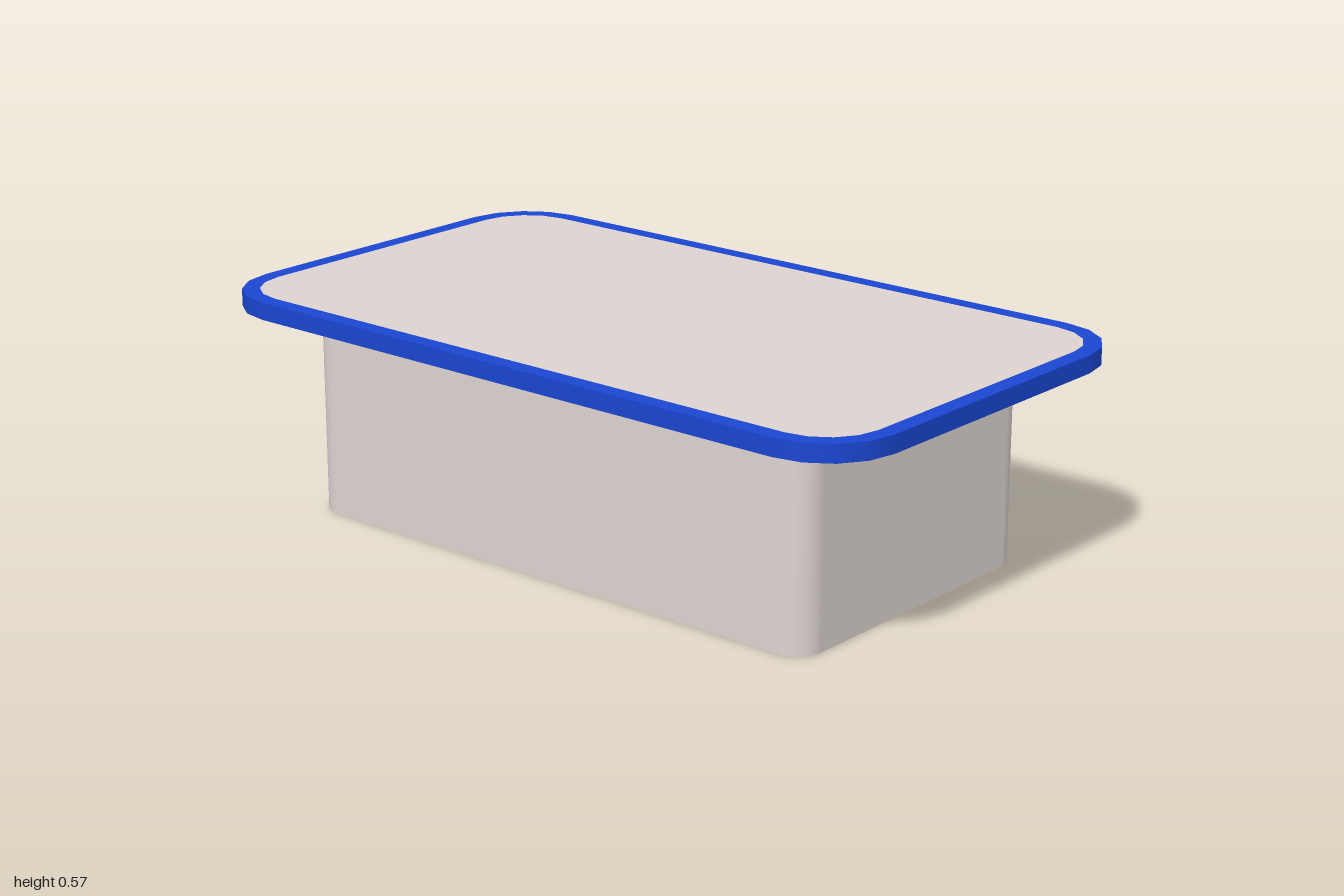
import * as THREE from 'three';

// Rounded rectangle outline in plan; each entry keeps its position and outward normal
function outline(hx, hz, r, segments) {
  const pts = [];
  const corners = [[1, 1], [-1, 1], [-1, -1], [1, -1]];
  corners.forEach(([sx, sz], q) => {
    for (let i = 0; i <= segments; i++) {
      const a = (q + i / segments) * Math.PI / 2;
      const n = new THREE.Vector2(Math.cos(a), Math.sin(a));
      pts.push({ n, p: new THREE.Vector2(sx * (hx - r) + r * n.x, sz * (hz - r) + r * n.y) });
    }
  });
  return pts;
}

// Smooth upright band that follows an outline
function band(loop, y0, y1) {
  const pos = [], nor = [], idx = [];
  const count = loop.length;
  loop.forEach(({ p, n }, i) => {
    pos.push(p.x, y0, p.y, p.x, y1, p.y);
    nor.push(n.x, 0, n.y, n.x, 0, n.y);
    const a = 2 * i, b = 2 * ((i + 1) % count);
    idx.push(a, a + 1, b, b, a + 1, b + 1);
  });
  const geo = new THREE.BufferGeometry();
  geo.setAttribute('position', new THREE.Float32BufferAttribute(pos, 3));
  geo.setAttribute('normal', new THREE.Float32BufferAttribute(nor, 3));
  geo.setIndex(idx);
  return geo;
}

// Flat horizontal face, with an optional hole, facing up or down
function sheet(loop, y, up, hole) {
  const shape = new THREE.Shape(loop.map(o => o.p));
  if (hole) shape.holes.push(new THREE.Path(hole.map(o => o.p)));
  return new THREE.ShapeGeometry(shape).rotateX(up ? -Math.PI / 2 : Math.PI / 2).translate(0, y, 0);
}

export function createModel() {
  const model = new THREE.Group();
  const blue = new THREE.MeshStandardMaterial({ color: 0x1a46d2 });
  const pale = new THREE.MeshStandardMaterial({ color: 0xddd4d1 });
  const paleThin = new THREE.MeshStandardMaterial({ color: 0xddd4d1, side: THREE.DoubleSide });

  const add = (parent, name, geometry, material) => {
    const mesh = new THREE.Mesh(geometry, material);
    mesh.name = name;
    parent.add(mesh);
  };

  const under = 0.53, top = 0.575;
  const outer = outline(0.575, 1, 0.19, 4);
  const inner = outline(0.53, 0.955, 0.145, 4);

  // Table top: blue slab with a pale panel set flush inside its border
  const slab = new THREE.Group();
  slab.name = 'tableTop';
  add(slab, 'edgeBand', band(outer, under, top), blue);
  add(slab, 'topBorder', sheet(outer, top, true, inner), blue);
  add(slab, 'underside', sheet(outer, under, false), blue);
  add(slab, 'topPanel', sheet(inner, top, true), pale);
  model.add(slab);

  // Base: thin wall, open at the bottom
  add(model, 'baseWall', band(outline(0.43, 0.79, 0.07, 8), 0, under), paleThin);

  return model;
}
